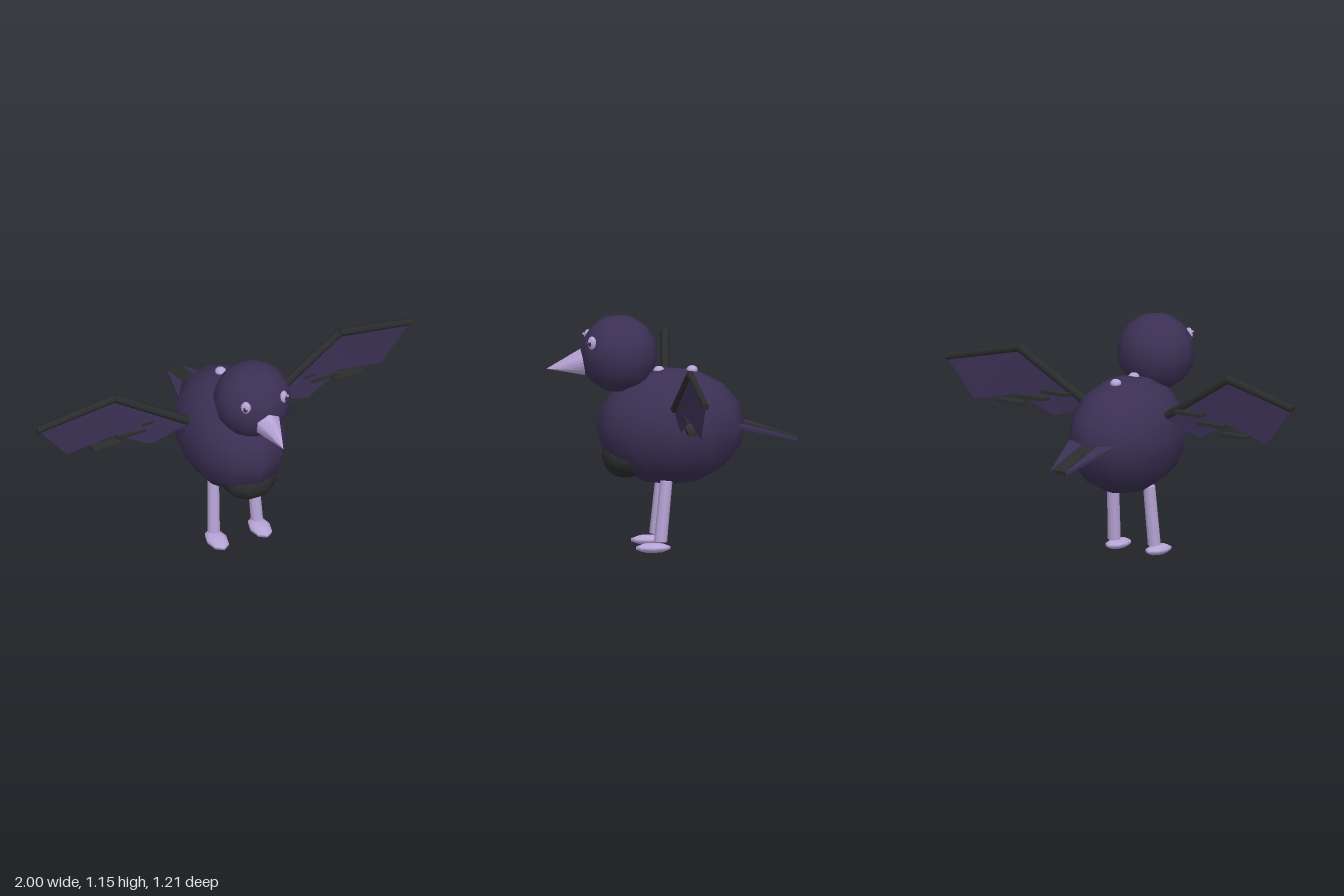
import * as THREE from 'three';

const mat = (name, color, side = THREE.FrontSide) => {
  const m = new THREE.MeshStandardMaterial({ color, side });
  m.name = name;
  return m;
};

export function createModel() {
  const plum = mat('plum plumage', 0x3b3054, THREE.DoubleSide);
  const lilac = mat('lilac', 0xb8a5d8);
  const charcoal = mat('charcoal', 0x2b2c2d);

  const bird = new THREE.Group();
  bird.name = 'bird';

  const add = (parent, name, geometry, material, pos = [0, 0, 0]) => {
    const mesh = new THREE.Mesh(geometry, material);
    mesh.name = name;
    mesh.position.set(...pos);
    parent.add(mesh);
    return mesh;
  };

  // Low-poly ellipsoid
  const ball = (parent, name, material, pos, radii, w = 12, h = 8) => {
    const mesh = add(parent, name, new THREE.SphereGeometry(1, w, h), material, pos);
    mesh.scale.set(...radii);
    return mesh;
  };

  // Tapered rod from point a to point b
  const rod = (parent, name, material, a, b, ra, rb, sides) => {
    const from = new THREE.Vector3(...a), to = new THREE.Vector3(...b);
    const dir = to.clone().sub(from);
    const mesh = add(parent, name, new THREE.CylinderGeometry(rb, ra, dir.length(), sides), material);
    mesh.position.copy(from).add(to).multiplyScalar(0.5);
    mesh.quaternion.setFromUnitVectors(new THREE.Vector3(0, 1, 0), dir.normalize());
    return mesh;
  };

  // Flat panel fanned from its first corner
  const panel = (parent, name, corners) => {
    const g = new THREE.BufferGeometry();
    g.setAttribute('position', new THREE.Float32BufferAttribute(corners.flat(), 3));
    const index = [];
    for (let i = 1; i < corners.length - 1; i++) index.push(0, i, i + 1);
    g.setIndex(index);
    g.computeVertexNormals();
    return add(parent, name, g, plum);
  };

  // Body, belly patch and head
  ball(bird, 'body', plum, [0, 0.605, 0.003], [0.255, 0.285, 0.36]);
  ball(bird, 'bellyPatch', charcoal, [0, 0.462, 0.215], [0.14, 0.105, 0.125], 10, 8).rotation.x = 0.15;
  ball(bird, 'head', plum, [0, 0.963, 0.256], [0.19, 0.188, 0.188]);

  // Beak
  rod(bird, 'beak', lilac, [0, 0.925, 0.43], [0, 0.895, 0.605], 0.066, 0, 6);

  // Spots along the back
  for (const z of [0.06, -0.1]) ball(bird, 'backSpot', lilac, [0, 0.877, z], [0.028, 0.022, 0.028], 8, 6);

  // Tail: tapered plate with a central feather
  const tail = new THREE.Group();
  tail.name = 'tail';
  tail.position.set(0, 0.615, -0.31);
  tail.rotation.x = -0.265;
  bird.add(tail);
  const outline = new THREE.Shape([[-0.128, 0], [0.128, 0], [0.045, 0.305], [-0.045, 0.305]]
    .map(([x, y]) => new THREE.Vector2(x, y)));
  const plate = new THREE.ExtrudeGeometry(outline, { depth: 0.016, bevelEnabled: false });
  plate.translate(0, 0, -0.008).rotateX(-Math.PI / 2);
  add(tail, 'tailFan', plate, plum);
  add(tail, 'tailFeather', new THREE.BoxGeometry(0.078, 0.022, 0.3), charcoal, [0, 0, -0.155]);

  for (const s of [1, -1]) {
    const side = s > 0 ? 'left' : 'right';
    const at = (x, y, z) => [s * x, y, z];

    // Eye with pupil and glint
    const eye = new THREE.Group();
    eye.name = side + 'Eye';
    eye.position.set(...at(0.1, 1.033, 0.394));
    eye.rotation.y = s * 0.62;
    bird.add(eye);
    ball(eye, 'eyeball', lilac, [0, 0, 0], [0.026, 0.034, 0.018], 8, 6);
    ball(eye, 'pupil', plum, [0, -0.002, 0.014], [0.011, 0.014, 0.008], 8, 6);
    ball(eye, 'glint', lilac, [0.006, 0.01, 0.021], [0.007, 0.007, 0.006], 6, 4);

    // Leg and foot
    rod(bird, side + 'Leg', lilac, at(0.115, 0.06, 0.064), at(0.104, 0.355, 0.035), 0.032, 0.03, 8);
    ball(bird, side + 'Foot', lilac, at(0.115, 0.029, 0.1), [0.053, 0.024, 0.088], 8, 5);

    // Wing: two arm bones, two membranes and three small feathers
    const wing = new THREE.Group();
    wing.name = side + 'Wing';
    bird.add(wing);
    const shoulder = at(0.2, 0.71, 0.008), elbow = at(0.6, 0.962, -0.03), tip = at(0.995, 0.873, -0.065);
    const mid = at(0.6, 0.735, -0.03);
    rod(wing, 'upperArm', charcoal, shoulder, elbow, 0.022, 0.021, 6);
    rod(wing, 'forearm', charcoal, elbow, tip, 0.021, 0.018, 6);
    panel(wing, 'innerMembrane', [elbow, shoulder, at(0.42, 0.642, -0.004), mid]);
    panel(wing, 'outerMembrane', [elbow, mid, at(0.84, 0.68, -0.058), tip]);
    for (let i = 0; i < 3; i++) {
      add(wing, 'feather', new THREE.BoxGeometry(0.15, 0.016, 0.052), charcoal,
        at(0.385 + i * 0.13, 0.765 - i * 0.038, -0.034));
    }
  }

  return bird;
}
